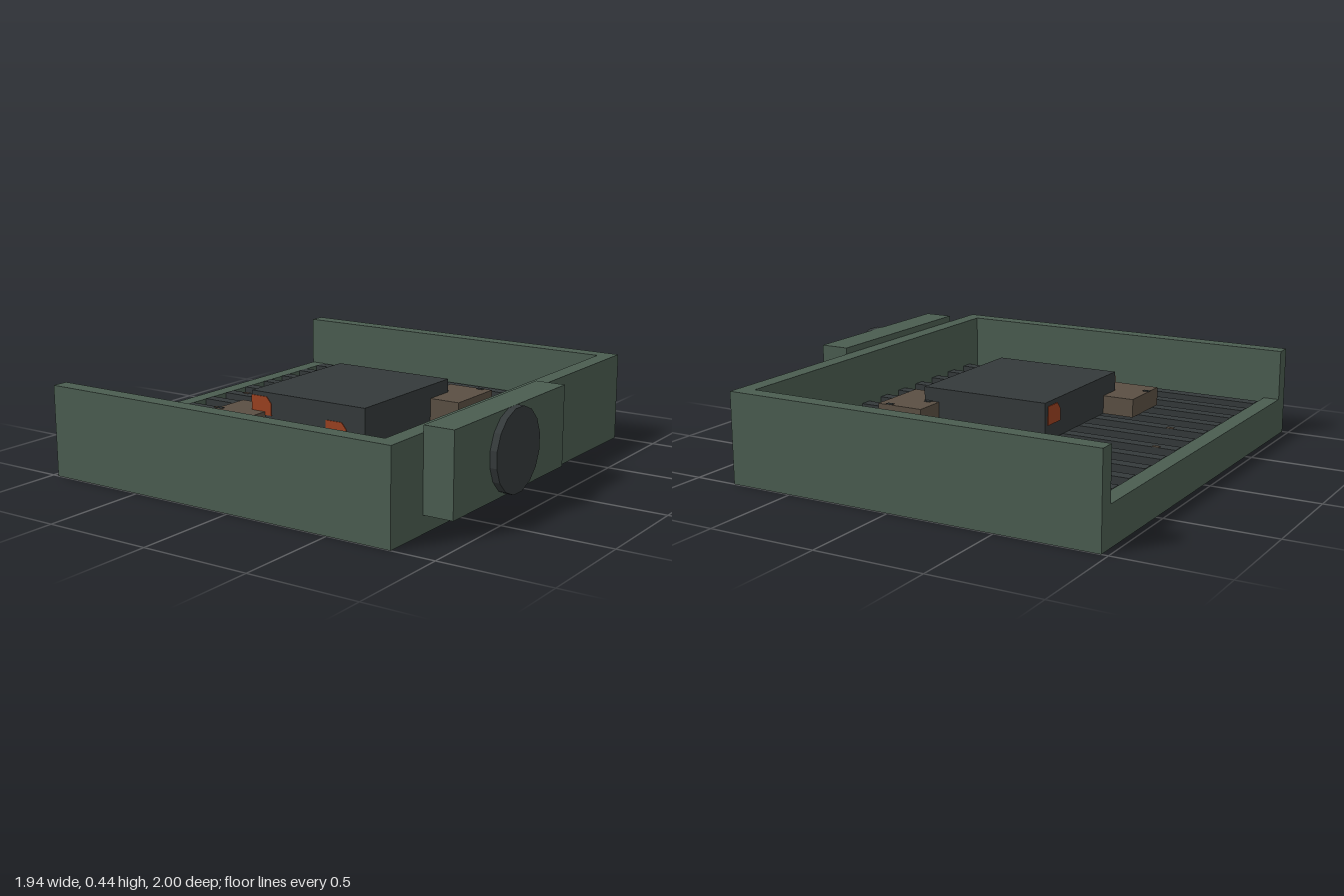
import * as THREE from 'three';

const paint = (name, color) => {
  const m = new THREE.MeshStandardMaterial({ color });
  m.name = name;
  return m;
};

export function createModel() {
  const green = paint('green frame', 0x4a5c50);
  const dark = paint('dark metal', 0x34393a);
  const brown = paint('brown', 0x5a4f43);
  const orange = paint('rusty orange', 0x9a4020);
  const model = new THREE.Group();
  model.name = 'slattedTray';

  // Box given by its limits on each axis
  const block = (name, mat, [x0, x1], [y0, y1], [z0, z1]) => {
    const mesh = new THREE.Mesh(new THREE.BoxGeometry(x1 - x0, y1 - y0, z1 - z0), mat);
    mesh.position.set((x0 + x1) / 2, (y0 + y1) / 2, (z0 + z1) / 2);
    mesh.name = name;
    model.add(mesh);
    return mesh;
  };

  // Frame: three tall walls and one low wall
  block('frontWall', green, [-0.97, 0.8], [0, 0.415], [0.925, 1]);
  block('backWall', green, [-0.97, 0.8], [0, 0.415], [-1, -0.925]);
  block('tallSideWall', green, [0.725, 0.8], [0, 0.415], [-0.925, 0.925]);
  block('lowSideWall', green, [-0.97, -0.895], [0, 0.178], [-0.925, 0.925]);

  // Runners below, slats across them
  for (const x of [-0.585, -0.125, 0.335])
    block('runner', dark, [x - 0.029, x + 0.029], [0.015, 0.12], [-0.925, 0.925]);
  for (let i = 0; i < 12; i++) {
    const z = -0.883 + i * 0.154;
    block('slat', dark, [-0.895, 0.725], [0.12, 0.18], [z - 0.029, z + 0.029]);
  }

  // Central box with two smaller boxes tucked against its corners
  block('centralBox', dark, [-0.355, 0.26], [0.18, 0.355], [-0.31, 0.38]);
  block('frontSmallBox', brown, [-0.505, -0.28], [0.18, 0.265], [0.26, 0.535]);
  block('backSmallBox', brown, [0.185, 0.41], [0.18, 0.292], [-0.46, -0.155]);

  // Thin rust patches with one clipped corner, on the central box
  const patchShape = new THREE.Shape([
    [-0.055, -0.04], [0.055, -0.04], [0.055, 0.015], [0.03, 0.045], [-0.055, 0.045],
  ].map(([x, y]) => new THREE.Vector2(x, y)));
  const patchGeometry = new THREE.ExtrudeGeometry(patchShape, { depth: 0.004, bevelEnabled: false });
  const patch = (x, y, z, turn) => {
    const mesh = new THREE.Mesh(patchGeometry, orange);
    mesh.position.set(x, y, z);
    mesh.rotation.y = turn;
    mesh.name = 'rustPatch';
    model.add(mesh);
  };
  patch(-0.3, 0.29, 0.38, 0);
  patch(0.11, 0.23, 0.38, 0);
  patch(-0.355, 0.29, -0.23, -Math.PI / 2);

  // Small stains on the boxes and slats
  for (const [x, y, z, mat] of [
    [0.355, 0.292, -0.448, dark], [0.235, 0.292, -0.322, dark], [-0.492, 0.265, 0.44, dark],
    [-0.8, 0.18, -0.132, brown], [-0.73, 0.18, 0.177, brown],
  ]) block('stain', mat, [x - 0.016, x + 0.016], [y, y + 0.003], [z - 0.01, z + 0.01]);

  // Housing on the side wall with a round cap
  block('sideHousing', green, [0.8, 0.938], [0.08, 0.445], [-0.155, 0.77]);
  const cap = new THREE.CylinderGeometry(0.185, 0.185, 0.035, 16).toNonIndexed();
  cap.computeVertexNormals();
  cap.rotateY(Math.PI / 16);
  cap.rotateZ(-Math.PI / 2);
  const disc = new THREE.Mesh(cap, dark);
  disc.position.set(0.9525, 0.263, 0.308);
  disc.name = 'roundCap';
  model.add(disc);

  return model;
}
